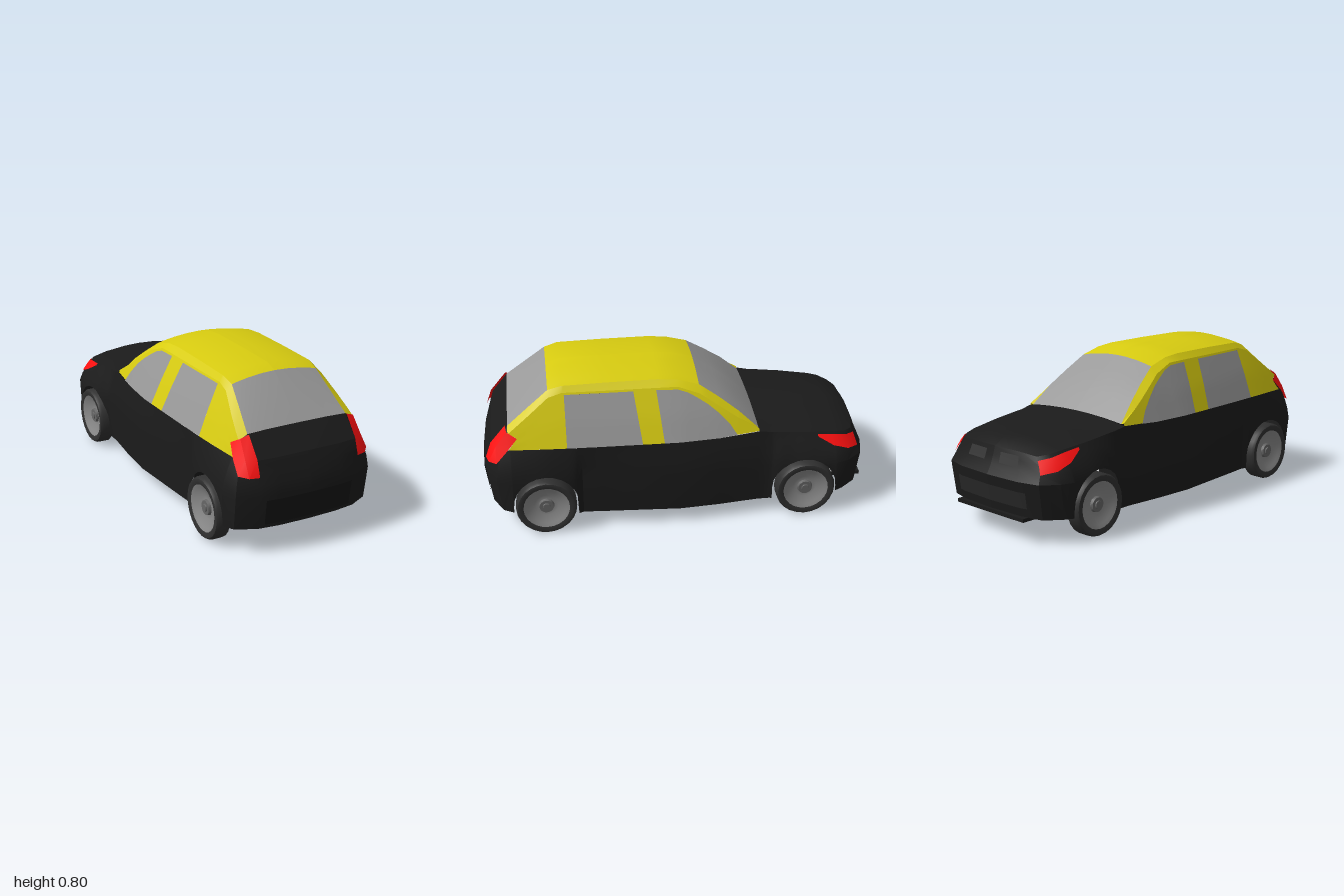
import * as THREE from 'three';
import { toCreasedNormals } from 'three/addons/utils/BufferGeometryUtils.js';

const BLACK = 0x1b1b1b, YELLOW = 0xd8cc10, RED = 0xff1010, GLASS = 0x999999;
const { lerp } = THREE.MathUtils;

// Linear lookup in a table whose rows start with an ascending key
function lookup(table, key) {
  let i = 1;
  while (i < table.length - 1 && key > table[i][0]) i++;
  const a = table[i - 1], b = table[i];
  const t = THREE.MathUtils.clamp((key - a[0]) / (b[0] - a[0]), 0, 1);
  return a.map((v, k) => lerp(v, b[k], t));
}

// Body outline: mid z, mid half width, then top edge z, x, y
const OUTLINE = [
  [-1, 0, -0.945, 0, 0.43], [-0.99, 0.2, -0.935, 0.18, 0.428], [-0.96, 0.32, -0.915, 0.26, 0.418],
  [-0.88, 0.385, -0.87, 0.3, 0.428], [-0.815, 0.408, -0.815, 0.315, 0.437],
  [-0.65, 0.41, -0.65, 0.335, 0.455], [-0.52, 0.395, -0.52, 0.339, 0.469],
  [-0.475, 0.374, -0.475, 0.34, 0.473], [-0.41, 0.374, -0.41, 0.345, 0.485],
  [-0.2, 0.397, -0.2, 0.37, 0.475], [0, 0.41, 0, 0.385, 0.475],
  [0.4, 0.382, 0.4, 0.375, 0.475], [0.5, 0.374, 0.5, 0.371, 0.475], [0.54, 0.392, 0.54, 0.37, 0.475],
  [0.69, 0.403, 0.69, 0.362, 0.475], [0.855, 0.4, 0.855, 0.345, 0.472],
  [0.93, 0.37, 0.9, 0.33, 0.47], [0.98, 0.27, 0.94, 0.28, 0.47],
  [0.995, 0.16, 0.95, 0.17, 0.47], [1, 0, 0.95, 0, 0.47],
];
// Cabin top line: z, edge half width, centre height, edge drop
const TOP = [
  [-0.41, 0.32, 0.512, 0.02], [-0.31, 0.295, 0.61, 0.025], [-0.21, 0.268, 0.69, 0.03],
  [-0.11, 0.245, 0.757, 0.03], [0, 0.24, 0.788, 0.03], [0.1, 0.24, 0.797, 0.03],
  [0.35, 0.24, 0.797, 0.03], [0.58, 0.24, 0.793, 0.03], [0.65, 0.235, 0.772, 0.03],
  [0.75, 0.252, 0.682, 0.02], [0.86, 0.272, 0.578, 0.005],
];
// Gutter height along z, and cabin side taper by height
const GUTTER = [[-0.41, 0.497], [-0.3, 0.565], [-0.2, 0.635], [-0.11, 0.695], [0, 0.735],
  [0.58, 0.735], [0.65, 0.715], [0.86, 0.55]];
const TAPER = [[0.475, 1], [0.6, 0.87], [0.735, 0.71]];
// Upper edge of the side windows
const WINDOW_TOP = [[-0.41, 0.485], [-0.295, 0.481], [-0.26, 0.535], [-0.2, 0.6], [-0.15, 0.642],
  [-0.1, 0.675], [-0.05, 0.705], [0, 0.722], [0.11, 0.725], [0.225, 0.725], [0.57, 0.725]];

const belt = z => lookup(OUTLINE, z)[4];
const gutter = z => lookup(GUTTER, z)[1];
const windowTop = z => lookup(WINDOW_TOP, z)[1];
const cabinSide = (z, y) => [lookup(OUTLINE, z)[3] * lookup(TAPER, y)[1], y, z];
// Shared columns keep the roof rail and the cabin sides joined
const STATIONS = [...new Set([...TOP, ...GUTTER, ...WINDOW_TOP, [0.815]].map(row => row[0]))]
  .sort((a, b) => a - b);

// Point on the lower body skin at an outline station and height
function skin(z, y, out = 0) {
  const [zm, w, zt, xt, yt] = lookup(OUTLINE, z);
  const end = Math.sign(z) * (Math.abs(z) > 0.8 ? out : 0);
  const side = out * Math.sign(w);
  if (y <= 0.3) {
    const k = 0.97 + 0.03 * (y - 0.085) / 0.215;
    return [w * lerp(k, 1, 0.6) + side, y, zm * (Math.abs(z) > 0.86 ? k : 1) + end];
  }
  const t = Math.min(1, (y - 0.3) / (yt - 0.3));
  return [lerp(w, xt, t ** 1.5) + side, y, lerp(zm, zt, t ** (z < 0 ? 0.7 : 1.5)) + end];
}

// Surface through a list of equally long lines of points
function surface(lines, side) {
  const n = lines[0].length, index = [];
  for (let i = 0; i < lines.length - 1; i++)
    for (let j = 0; j < n - 1; j++) {
      const a = i * n + j, b = a + n;
      index.push(...(side > 0 ? [a, a + 1, b, b, a + 1, b + 1] : [a, b, a + 1, b, b + 1, a + 1]));
    }
  const geo = new THREE.BufferGeometry();
  const pts = lines.flat().flatMap(([x, y, z]) => [x * side, y, z]);
  geo.setAttribute('position', new THREE.Float32BufferAttribute(pts, 3));
  geo.setIndex(index);
  return toCreasedNormals(geo, 0.45);
}

export function createModel() {
  const car = new THREE.Group();
  car.name = 'car';

  const add = (name, geo, color, x = 0, y = 0, z = 0) => {
    const mesh = new THREE.Mesh(geo, new THREE.MeshStandardMaterial({ color, side: THREE.DoubleSide }));
    mesh.name = name;
    mesh.position.set(x, y, z);
    car.add(mesh);
    return mesh;
  };
  const addPair = (name, color, lines) => {
    add(name + 'Left', surface(lines, 1), color);
    add(name + 'Right', surface(lines, -1), color);
  };

  // Lower body with open wheel arches
  const columns = [-1, -0.99, -0.96, -0.88, -0.815].map(z => [z, 0.125]);
  const arch = c => {
    for (let k = 0; k <= 12; k++) {
      const a = Math.PI * k / 12;
      columns.push([c - 0.165 * Math.cos(a), 0.16 + 0.17 * Math.sin(a)]);
    }
  };
  arch(-0.65);
  [-0.485, -0.475, -0.41, -0.2, 0, 0.2, 0.4, 0.5, 0.525].forEach(z => columns.push([z, 0.085]));
  arch(0.69);
  [0.855, 0.93, 0.98, 0.995, 1].forEach(z => columns.push([z, 0.13]));
  addPair('bodySide', BLACK, columns.map(([z, low]) => {
    const mid = Math.max(0.3, low + 0.01), top = belt(z);
    return [low, mid, lerp(mid, top, 0.35), lerp(mid, top, 0.7), top].map(y => skin(z, y));
  }));

  // Bonnet, crowned towards the centre
  const CROWN = [[-0.96, 0.012, 0.03], [-0.88, 0.032, 0.022], [-0.815, 0.04, 0.01],
    [-0.65, 0.041, 0], [-0.475, 0.034, 0], [-0.41, 0.027, 0]];
  addPair('bonnet', BLACK, CROWN.map(([z, rise, bow]) => {
    const [, , zt, xt, yt] = lookup(OUTLINE, z);
    return [1, 0.85, 0.62, 0.3, 0].map(f =>
      [xt * f, yt + rise * (1 - f * f), zt - bow * (1 - f * f)]);
  }));

  // Windscreen, roof and rear window share one top line
  const topLine = ([z, w, y, drop]) => [1, 0.85, 0.62, 0.3, 0].map(f => [w * f, y - drop * f * f, z]);
  addPair('windscreen', GLASS, TOP.slice(0, 4).map(topLine));
  addPair('roof', YELLOW, TOP.slice(3, 9).map(topLine));
  addPair('rearWindow', GLASS, TOP.slice(8).map(topLine));
  addPair('roofRail', YELLOW, STATIONS.map(z => {
    const [, w, y, drop] = lookup(TOP, z);
    return [cabinSide(z, gutter(z)), [w, y - drop, z]];
  }));

  // Cabin sides: columns of bottom z, top z, bottom y, top y
  const sidePanel = (name, color, cols) => addPair(name, color, cols.map(([z0, z1, y0, y1]) =>
    Array.from({ length: 7 }, (_, i) => cabinSide(lerp(z0, z1, i / 6), lerp(y0, y1, i / 6)))));
  sidePanel('rearPillar', YELLOW, [
    ...STATIONS.filter(z => z >= 0.57 && z < 0.82).map(z => [z, z, belt(z), gutter(z)]),
    [0.86, 0.815, belt(0.86), 0.53]]);
  sidePanel('rearPillarTip', YELLOW, [[0.815, 0.815, 0.53, gutter(0.815)], [0.86, 0.86, 0.55, 0.55]]);
  sidePanel('rearSideWindow', GLASS, [[0.57, 0.57], [0.38, 0.4], [0.19, 0.225]]
    .map(([a, b]) => [a, b, belt(a), 0.725]));
  sidePanel('middlePillar', YELLOW, [[0.19, 0.225], [0.08, 0.11]].map(([a, b]) => [a, b, belt(a), 0.725]));
  sidePanel('frontSideWindow', GLASS, [[0.08, 0.11, belt(0.08), 0.725],
    ...WINDOW_TOP.slice(1, 8).reverse().map(([z, y]) => [z, z, belt(z), y])]);
  sidePanel('windowFrame', YELLOW, STATIONS.filter(z => z <= 0.57)
    .map(z => [z, z, windowTop(z), gutter(z)]));

  // Tailgate between the belt and the rear window
  addPair('tailgate', BLACK, [
    [[0.34, 0.472, 0.86], [0.3, 0.55, 0.85]], [[0.33, 0.47, 0.9], [0.29, 0.56, 0.855]],
    [[0.28, 0.47, 0.94], [0.272, 0.573, 0.86]], [[0.17, 0.47, 0.95], [0.17, 0.577, 0.86]],
    [[0, 0.47, 0.95], [0, 0.578, 0.86]],
  ]);

  // Lamps wrapping the corners
  addPair('tailLamp', RED, [
    [[0.27, 0.4, 0.978], [0.27, 0.48, 0.95], [0.27, 0.575, 0.872]],
    [[0.32, 0.4, 0.965], [0.32, 0.48, 0.925], [0.312, 0.56, 0.866]],
    [[0.357, 0.405, 0.925], [0.352, 0.468, 0.87], [0.335, 0.53, 0.815]],
  ]);
  addPair('headlamp', RED, [[-0.72, 0.43, 0.44], [-0.8, 0.385, 0.43], [-0.88, 0.358, 0.415], [-0.96, 0.342, 0.402]]
    .map(([z, lo, hi]) => [0, 0.5, 1].map(t => skin(z, lerp(lo, hi, t), 0.005))));

  // Grilles, lower intake and rear bumper recess
  const patch = (name, color, zs, lo, hi) =>
    addPair(name, color, zs.map(z => [0, 0.5, 1].map(t => skin(z, lerp(lo, hi, t), 0.004))));
  patch('grille', 0x333333, [-0.9975, -0.991], 0.36, 0.41);
  patch('lowerIntake', 0x282828, [-1, -0.99, -0.98], 0.17, 0.25);
  patch('rearBumperPanel', 0x151515, [0.985, 0.995, 1], 0.15, 0.28);
  add('frontLip', new THREE.BoxGeometry(0.48, 0.018, 0.17), BLACK, 0, 0.118, -0.905);

  // Floor and the sill ends beside the wheels
  add('floor', new THREE.BoxGeometry(0.48, 0.11, 1.78), 0xcccccc, 0, 0.19, 0.01);
  for (const s of [-1, 1])
    for (const z of [-0.48, 0.52])
      add('sillEnd', new THREE.BoxGeometry(0.13, 0.2, 0.01), BLACK, s * 0.305, 0.185, z);

  // Wheels: tyre, dished rim, hub and inner disc
  const lathe = pts => toCreasedNormals(
    new THREE.LatheGeometry(pts.map(([r, h]) => new THREE.Vector2(r, h)), 24), 0.6);
  const parts = [
    ['tyre', 0x303030, [[0.145, 0], [0.155, 0.008], [0.155, 0.064], [0.147, 0.078], [0.135, 0.08], [0.118, 0.074]]],
    ['rim', 0x888888, [[0.118, 0.074], [0.1, 0.066], [0.06, 0.046], [0.04, 0.046]]],
    ['hub', 0x666666, [[0.04, 0.046], [0.036, 0.06], [0.02, 0.06], [0.018, 0.066], [0, 0.066]]],
    ['wheelBack', 0x999999, [[0, 0], [0.145, 0]]],
  ].map(([name, color, pts]) => [name, color, lathe(pts)]);
  for (const s of [-1, 1])
    for (const z of [-0.655, 0.69])
      for (const [name, color, geo] of parts)
        add(name, geo, color, s * 0.34, 0.155, z).rotation.z = -s * Math.PI / 2;

  return car;
}
